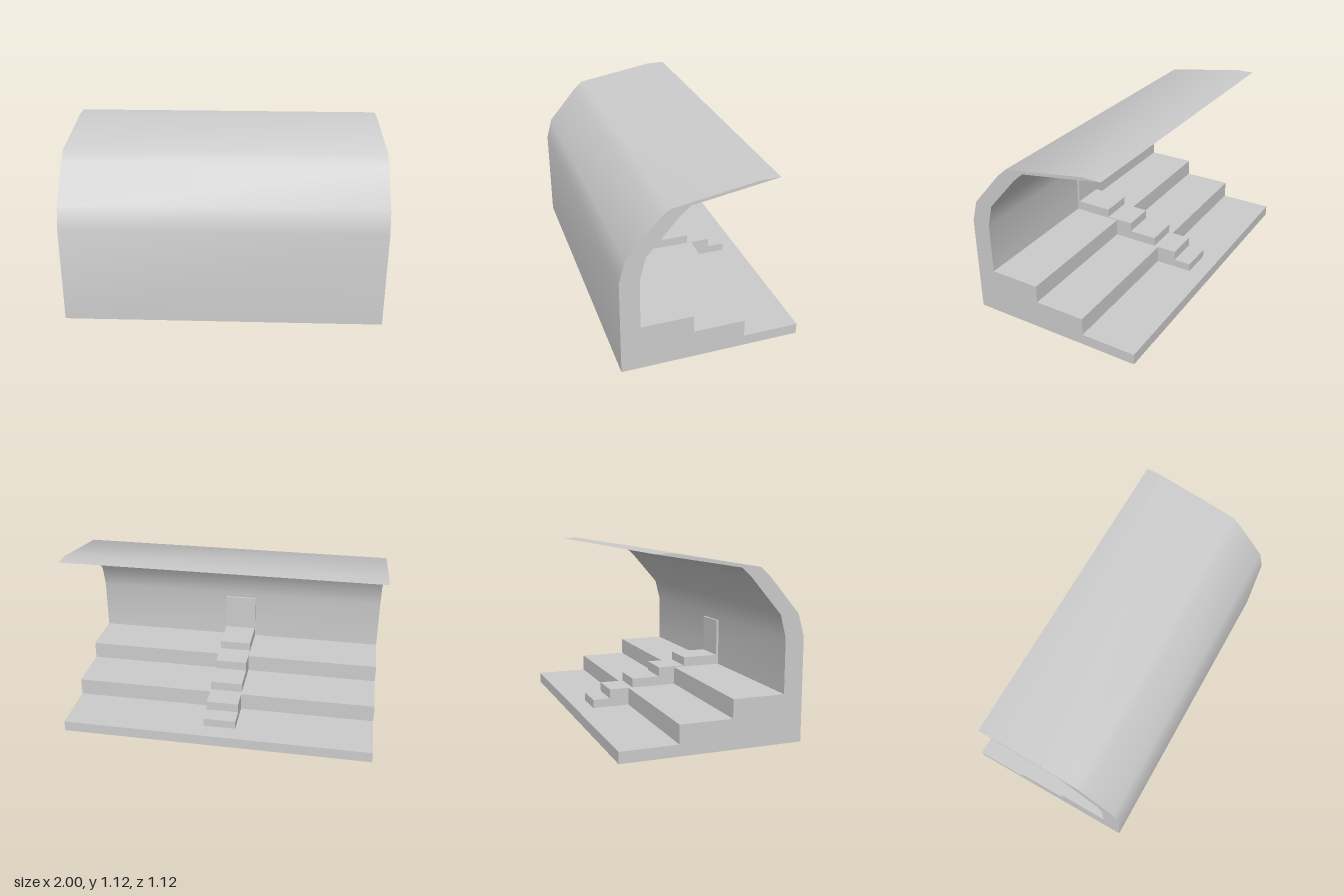
import * as THREE from 'three';
import { toCreasedNormals } from 'three/addons/utils/BufferGeometryUtils.js';

const material = new THREE.MeshStandardMaterial({ color: 0xcccccc });

// Extrudes a [z, y] side profile across x, from x0 to x1
function profileMesh(name, points, x0, x1, crease) {
  const shape = new THREE.Shape(points.map(([z, y]) => new THREE.Vector2(z, y)));
  const extruded = new THREE.ExtrudeGeometry(shape, { depth: x1 - x0, bevelEnabled: false });
  extruded.rotateY(-Math.PI / 2).translate(x1, 0, 0);
  const mesh = new THREE.Mesh(toCreasedNormals(extruded, crease), material);
  mesh.name = name;
  return mesh;
}

export function createModel() {
  const group = new THREE.Group();
  group.name = 'coveredGrandstand';

  // Tiers, wall and curved canopy share one continuous section
  group.add(profileMesh('standAndCanopy', [
    [0.558, 0], [0.558, 0.62], [0.52, 0.757], [0.333, 0.975], [0.272, 1.03],
    [-0.245, 1.115], [-0.362, 1.115],
    [0.155, 1.03], [0.216, 0.975], [0.405, 0.757], [0.44, 0.62],
    [0.44, 0.295], [0.118, 0.295], [0.118, 0.182], [-0.206, 0.182],
    [-0.206, 0.069], [-0.557, 0.069], [-0.557, 0],
  ], -1, 1, 0.65));

  // Central aisle steps, resting on the tiers
  const left = -0.12, right = 0.09;
  group.add(profileMesh('aisleSteps', [
    [0.44, 0.295], [0.44, 0.358], [0.187, 0.358], [0.187, 0.302], [0.008, 0.302],
    [0.008, 0.241], [-0.177, 0.241], [-0.177, 0.182], [-0.333, 0.182],
    [-0.333, 0.122], [-0.445, 0.122], [-0.445, 0.069],
    [-0.206, 0.069], [-0.206, 0.182], [0.118, 0.182], [0.118, 0.295],
  ], left, right, 0.5));

  // Door panel against the wall at the top of the aisle
  const door = new THREE.Mesh(new THREE.BoxGeometry(right - left, 0.237, 0.015), material);
  door.position.set((left + right) / 2, 0.4765, 0.4325);
  door.name = 'door';
  group.add(door);

  return group;
}
